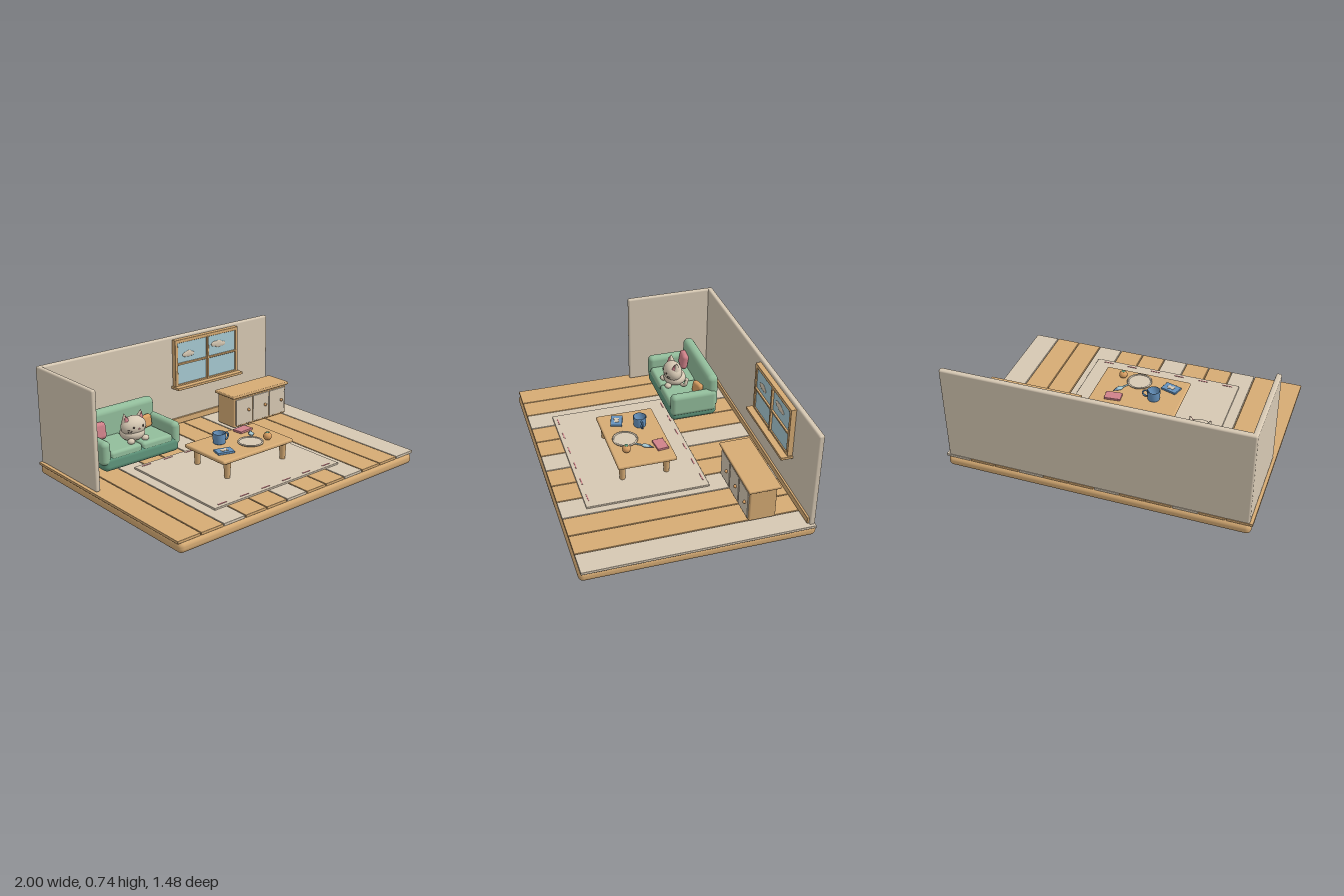
import * as THREE from 'three';
import { RoundedBoxGeometry } from 'three/addons/geometries/RoundedBoxGeometry.js';

const mat = (name, color, side = THREE.FrontSide) => {
  const m = new THREE.MeshStandardMaterial({ color, side });
  m.name = name;
  return m;
};

export function createModel() {
  const wood = mat('wood', 0xd6ab74), cream = mat('cream', 0xd6c8b3), green = mat('green', 0x92bd9b),
    darkGreen = mat('darkGreen', 0x5f967c), pink = mat('pink', 0xd0828a),
    blue = mat('blue', 0x6592bd, THREE.DoubleSide), glass = mat('glass', 0xa6c9d2),
    dark = mat('dark', 0x453b35), orange = mat('orange', 0xd99f62);
  const model = new THREE.Group();
  model.name = 'livingRoom';

  const group = (name, parent = model) => {
    const g = new THREE.Group();
    g.name = name;
    parent.add(g);
    return g;
  };
  const add = (parent, name, geo, m, x = 0, y = 0, z = 0) => {
    const mesh = new THREE.Mesh(geo, m);
    mesh.name = name;
    mesh.position.set(x, y, z);
    parent.add(mesh);
    return mesh;
  };
  // Rounded box given by its min and max on each axis
  const box = (parent, name, m, x0, x1, y0, y1, z0, z1, r = 0.004, seg = 2) =>
    add(parent, name, new RoundedBoxGeometry(x1 - x0, y1 - y0, z1 - z0, seg, r), m,
      (x0 + x1) / 2, (y0 + y1) / 2, (z0 + z1) / 2);
  const ball = (parent, name, m, x, y, z, rx, ry = rx, rz = rx) => {
    const s = add(parent, name, new THREE.SphereGeometry(1, 24, 16), m, x, y, z);
    s.scale.set(rx, ry, rz);
    return s;
  };

  // Floor: base slab and twelve planks
  const floor = group('floor');
  box(floor, 'base', wood, -0.99, 0.99, 0, 0.074, -0.742, 0.742, 0.032, 4);
  for (let i = 0; i < 12; i++) {
    const x = -1 + i / 6;
    box(floor, 'plank', i % 3 === 2 ? cream : wood, x + (i ? 0.003 : 0), x + 1 / 6 - (i < 11 ? 0.003 : 0),
      0.07, 0.088, -0.732, 0.732, 0.003, 1);
  }

  // Walls and skirting
  const walls = group('walls');
  box(walls, 'backWall', cream, -0.98, 0.98, 0.08, 0.74, -0.73, -0.692, 0.012);
  box(walls, 'sideWall', cream, -0.98, -0.946, 0.085, 0.74, -0.715, -0.093, 0.012);
  box(walls, 'skirting', wood, -0.95, 0.97, 0.092, 0.135, -0.695, -0.678);

  // Window with crossbars, sill and clouds
  const win = group('window');
  for (const [a, b] of [[0.08, 0.105], [0.635, 0.66]]) box(win, 'frameSide', wood, a, b, 0.38, 0.72, -0.695, -0.657);
  for (const [a, b] of [[0.38, 0.395], [0.695, 0.72]]) box(win, 'frameRail', wood, 0.08, 0.66, a, b, -0.695, -0.657);
  box(win, 'pane', glass, 0.1, 0.64, 0.385, 0.7, -0.688, -0.666, 0.002, 1);
  box(win, 'verticalBar', wood, 0.363, 0.379, 0.385, 0.7, -0.675, -0.65);
  box(win, 'crossBar', wood, 0.1, 0.64, 0.535, 0.549, -0.675, -0.652);
  box(win, 'sill', wood, 0.068, 0.67, 0.365, 0.384, -0.695, -0.613);
  for (const [x, y, rx, ry] of [[0.18, 0.602, 0.03, 0.018], [0.205, 0.605, 0.033, 0.023], [0.23, 0.6, 0.024, 0.016],
    [0.445, 0.628, 0.032, 0.02], [0.48, 0.624, 0.036, 0.026], [0.515, 0.618, 0.03, 0.017]])
    ball(win, 'cloud', cream, x, y, -0.666, rx, ry, 0.006);

  // Rug with stitched ends
  const rug = group('rug');
  box(rug, 'mat', cream, -0.595, 0.45, 0.086, 0.1, -0.238, 0.568, 0.004);
  for (const z of [-0.212, 0.54]) for (let i = 0; i < 6; i++)
    add(rug, 'stitch', new THREE.BoxGeometry(0.066, 0.004, 0.007), pink, -0.515 + i * 0.175, 0.101, z);

  // Sofa
  const sofa = group('sofa');
  box(sofa, 'sofaBase', darkGreen, -0.835, -0.245, 0.132, 0.235, -0.53, -0.2, 0.035, 4);
  box(sofa, 'backrest', green, -0.835, -0.25, 0.19, 0.44, -0.54, -0.462, 0.036, 4);
  for (const x of [-0.847, -0.301]) box(sofa, 'armrest', green, x, x + 0.066, 0.175, 0.335, -0.525, -0.2, 0.031, 4);
  for (const x of [-0.785, -0.541]) box(sofa, 'seatCushion', green, x, x + 0.24, 0.2, 0.26, -0.475, -0.204, 0.02, 3);
  const pinkPillow = box(sofa, 'pinkPillow', pink, -0.785, -0.67, 0.263, 0.375, -0.465, -0.415, 0.024, 4);
  pinkPillow.rotation.set(-0.15, -0.12, 0);
  const orangePillow = box(sofa, 'orangePillow', orange, -0.402, -0.312, 0.262, 0.348, -0.443, -0.4, 0.02, 4);
  orangePillow.rotation.set(-0.15, 0.3, 0);

  // Cat resting on the sofa
  const cat = group('cat');
  cat.position.set(-0.545, 0, -0.3);
  ball(cat, 'body', cream, 0, 0.305, -0.015, 0.085, 0.052, 0.078);
  ball(cat, 'head', cream, 0, 0.355, 0, 0.09, 0.066, 0.064);
  for (const s of [-1, 1]) {
    const ear = add(cat, 'ear', new THREE.ConeGeometry(0.027, 0.06, 20), cream, s * 0.06, 0.422, -0.008);
    ear.rotation.z = -s * 0.22;
    const inner = add(cat, 'innerEar', new THREE.ConeGeometry(0.016, 0.04, 16), pink, s * 0.06, 0.42, 0.007);
    inner.rotation.z = -s * 0.22;
    ball(cat, 'paw', cream, s * 0.055, 0.274, 0.05, 0.026, 0.018, 0.024);
    ball(cat, 'eye', dark, s * 0.035, 0.363, 0.058, 0.007, 0.008, 0.005);
    for (const d of [-1, 1]) {
      const whisker = add(cat, 'whisker', new THREE.CylinderGeometry(0.0012, 0.0012, 0.035, 6), dark, s * 0.06, 0.342 + d * 0.005, 0.05);
      whisker.rotation.set(0, s * 0.55, Math.PI / 2 + s * d * 0.15);
    }
  }
  ball(cat, 'nose', pink, 0, 0.35, 0.064, 0.007, 0.005, 0.005);
  const tailPath = new THREE.CatmullRomCurve3([[0.05, 0.28, -0.04], [0.09, 0.28, -0.05], [0.112, 0.3, -0.06], [0.105, 0.33, -0.07]]
    .map(p => new THREE.Vector3(...p)));
  add(cat, 'tail', new THREE.TubeGeometry(tailPath, 20, 0.012, 10), cream);
  ball(cat, 'tailTip', cream, 0.105, 0.33, -0.07, 0.014);

  // Coffee table
  const table = group('coffeeTable');
  box(table, 'tableTop', wood, -0.312, 0.285, 0.208, 0.235, -0.073, 0.318, 0.011, 3);
  box(table, 'apron', wood, -0.27, 0.245, 0.192, 0.212, -0.03, 0.275);
  for (const x of [-0.25, 0.227]) for (const z of [-0.017, 0.278])
    add(table, 'tableLeg', new THREE.CylinderGeometry(0.025, 0.018, 0.118, 20), wood, x, 0.157, z);

  // Mug
  const mug = group('mug');
  mug.position.set(-0.13, 0.235, 0.06);
  const mugProfile = [[0, 0], [0.037, 0], [0.04, 0.004], [0.045, 0.07], [0.039, 0.07], [0.035, 0.008], [0, 0.008]];
  add(mug, 'cup', new THREE.LatheGeometry(mugProfile.map(p => new THREE.Vector2(...p)), 28), blue);
  add(mug, 'mugHandle', new THREE.TorusGeometry(0.022, 0.006, 10, 24), blue, 0.054, 0.036, 0);

  // Plate
  const plate = group('plate');
  plate.position.set(0.015, 0.235, 0.2);
  add(plate, 'dish', new THREE.CylinderGeometry(0.085, 0.06, 0.013, 32), cream, 0, 0.007, 0);
  const rim = add(plate, 'rim', new THREE.TorusGeometry(0.079, 0.006, 8, 36), cream, 0, 0.014, 0);
  rim.rotation.x = Math.PI / 2;

  // Orange with leafy top
  ball(model, 'fruit', orange, 0.14, 0.262, 0.225, 0.028, 0.027, 0.028);
  ball(model, 'leaf', darkGreen, 0.14, 0.288, 0.225, 0.014, 0.004, 0.012);

  // Small fish toy on a stick
  const toy = group('toy');
  toy.position.set(0.112, 0.244, 0.1);
  toy.rotation.y = 0.95;
  const stick = add(toy, 'stick', new THREE.CylinderGeometry(0.006, 0.006, 0.07, 10), glass, -0.035, 0, 0);
  stick.rotation.z = Math.PI / 2;
  ball(toy, 'toyBody', glass, 0.012, 0, 0, 0.028, 0.009, 0.018);
  const tip = add(toy, 'toyTail', new THREE.ConeGeometry(0.018, 0.04, 4), blue, 0.048, 0, 0);
  tip.rotation.z = -Math.PI / 2;
  tip.scale.x = 0.45;

  // Books
  const book = (name, cover, x, z, w, d, turn) => {
    const b = group(name);
    b.position.set(x, 0.235, z);
    b.rotation.y = turn;
    box(b, 'cover', cover, -w / 2, w / 2, 0, 0.015, -d / 2, d / 2, 0.003, 1);
    return b;
  };
  book('pinkBook', pink, 0.13, -0.005, 0.112, 0.076, 0.1);
  const blueBook = book('blueBook', blue, -0.208, 0.2, 0.114, 0.078, -0.3);
  for (let i = 0; i < 2; i++) {
    const patch = add(blueBook, 'coverPatch', new THREE.BoxGeometry(0.05, 0.003, 0.02), cream, 0, 0.0155 + i * 0.0005, 0);
    patch.rotation.y = i ? 0.6 : -0.3;
  }

  // Cabinet with three doors
  const cabinet = group('cabinet');
  box(cabinet, 'cabinetBody', wood, 0.352, 0.852, 0.093, 0.32, -0.522, -0.347, 0.01);
  box(cabinet, 'cabinetTop', wood, 0.337, 0.868, 0.313, 0.334, -0.54, -0.333, 0.007);
  for (let i = 0; i < 3; i++) {
    const x = 0.368 + i * 0.159;
    box(cabinet, 'door', cream, x, x + 0.15, 0.108, 0.3, -0.352, -0.339, 0.004);
    ball(cabinet, 'knob', orange, x + 0.113, 0.208, -0.333, 0.011);
  }
  return model;
}
